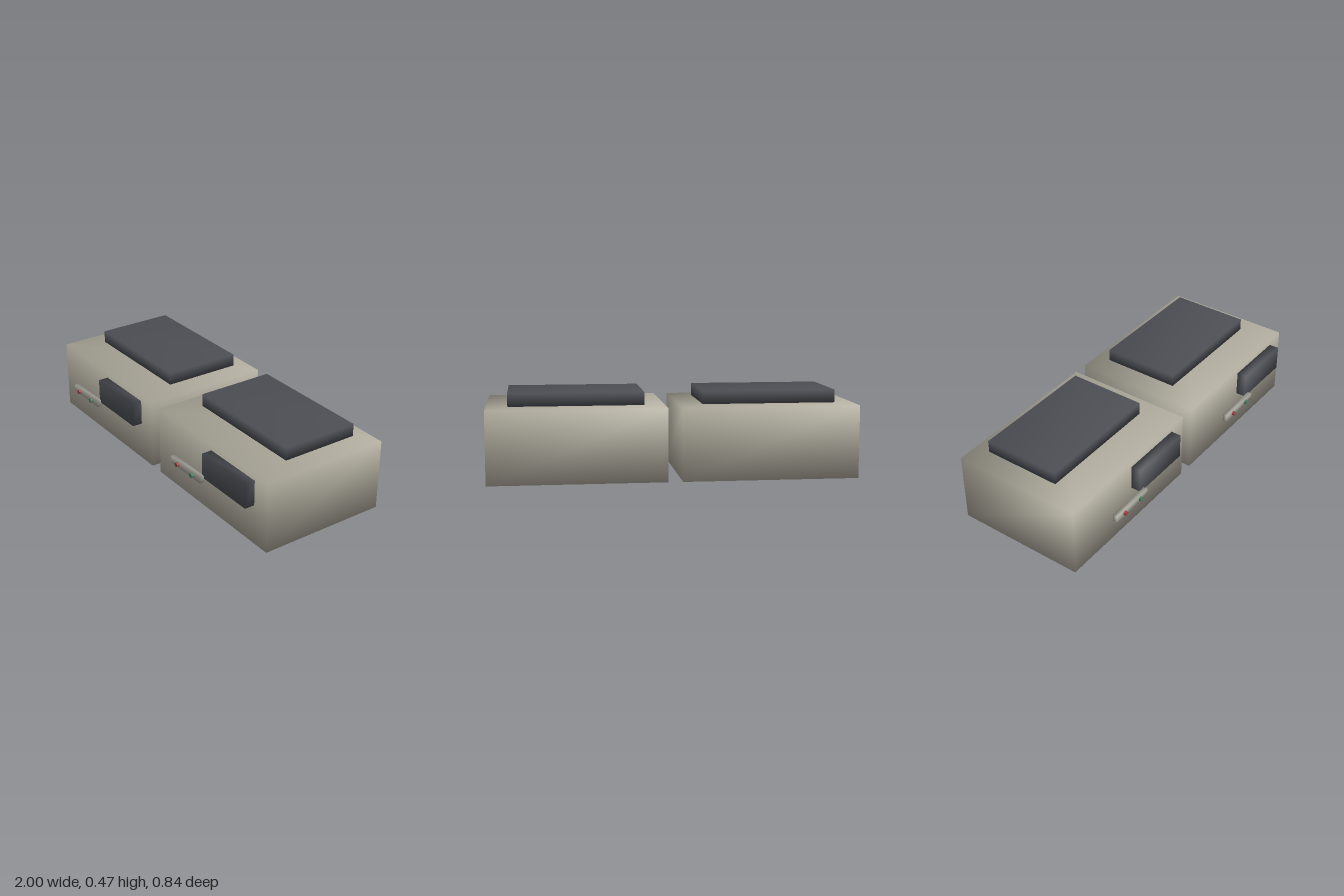
import * as THREE from 'three';
import { mergeVertices } from 'three/addons/utils/BufferGeometryUtils.js';

const material = (color) => new THREE.MeshStandardMaterial({ color });

// Box from its extents, with shared corners so the shading is smooth across edges
function softBox(name, mat, [x0, x1], [y0, y1], [z0, z1]) {
  let geo = new THREE.BoxGeometry(x1 - x0, y1 - y0, z1 - z0);
  geo.deleteAttribute('uv');
  geo.deleteAttribute('normal');
  geo = mergeVertices(geo);
  geo.computeVertexNormals();
  const mesh = new THREE.Mesh(geo, mat);
  mesh.name = name;
  mesh.position.set((x0 + x1) / 2, (y0 + y1) / 2, (z0 + z1) / 2);
  return mesh;
}

// Round button facing the front
function button(name, mat, x) {
  const geo = new THREE.CylinderGeometry(0.012, 0.012, 0.016, 16).rotateX(Math.PI / 2);
  const mesh = new THREE.Mesh(geo, mat);
  mesh.name = name;
  mesh.position.set(x, 0.226, 0.411);
  return mesh;
}

export function createModel() {
  const model = new THREE.Group();
  model.name = 'twinUnits';

  const shell = material(0xb0ac9e);
  const dark = material(0x4c4e54);
  const strip = material(0xa5a49a);
  const red = material(0xa04444);
  const green = material(0x4a7d62);

  // Two identical units side by side
  for (const [name, x] of [['rightUnit', -0.52], ['leftUnit', 0.52]]) {
    const unit = new THREE.Group();
    unit.name = name;
    unit.position.x = x;
    unit.add(
      softBox('body', shell, [-0.48, 0.48], [0, 0.397], [-0.418, 0.318]),
      // Slab hovering just above the body
      softBox('topPanel', dark, [-0.362, 0.362], [0.405, 0.475], [-0.327, 0.115]),
      softBox('frontPanel', dark, [0.008, 0.374], [0.224, 0.365], [0.316, 0.375]),
      // Control strip with its two buttons
      softBox('controlStrip', strip, [-0.238, 0.03], [0.207, 0.245], [0.38, 0.405]),
      button('redButton', red, -0.171),
      button('greenButton', green, -0.036),
    );
    model.add(unit);
  }
  return model;
}
